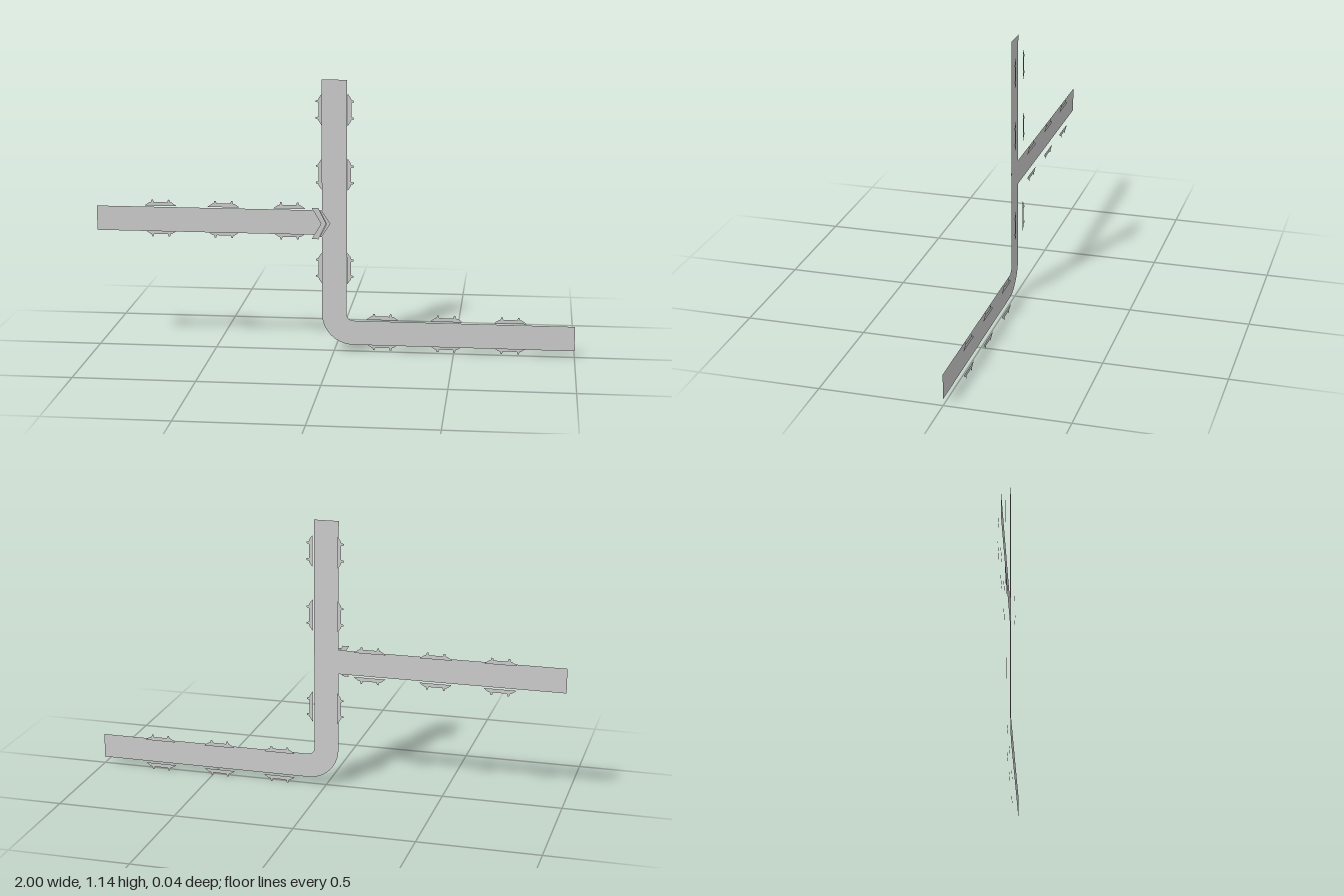
import * as THREE from 'three';

const material = new THREE.MeshStandardMaterial({ color: 0xcccccc, side: THREE.DoubleSide });

// Flat outline from a list of corners
function outline(points) {
  return new THREE.Shape(points.map(([x, y]) => new THREE.Vector2(x, y)));
}

function addSheet(parent, name, shape, z = 0) {
  const mesh = new THREE.Mesh(new THREE.ShapeGeometry(shape, 16), material);
  mesh.name = name;
  mesh.position.z = z;
  parent.add(mesh);
  return mesh;
}

export function createModel() {
  const model = new THREE.Group();
  model.name = 'branchingStrip';

  const half = 0.052;   // half width of the strips
  const armY = 0.55;    // centre line of the side arm
  const footY = 0.082;  // centre line of the foot
  const top = 1.147;
  const bracketZ = -0.02;
  const chevronZ = 0.02;

  // Upright that bends into the foot
  const inner = 0.028, outer = inner + 2 * half;
  const cx = half + inner, cy = footY + half + inner;
  const bend = new THREE.Shape();
  bend.moveTo(-half, top);
  bend.lineTo(-half, cy);
  bend.absarc(cx, cy, outer, Math.PI, Math.PI * 1.5, false);
  bend.lineTo(1, footY - half);
  bend.lineTo(1, footY + half);
  bend.lineTo(cx, footY + half);
  bend.absarc(cx, cy, inner, Math.PI * 1.5, Math.PI, true);
  bend.lineTo(half, top);
  addSheet(model, 'uprightAndFoot', bend);

  // Side arm
  addSheet(model, 'sideArm', outline([
    [-1, armY - half], [-half, armY - half], [-half, armY + half], [-1, armY + half],
  ]));

  // Edge bracket: a shallow bevelled bar with two small prongs
  const bracket = outline([
    [-0.067, 0], [0.067, 0], [0.062, 0.005], [0.047, 0.015],
    [0.041, 0.016], [0.038, 0.027], [0.032, 0.027], [0.029, 0.016],
    [-0.029, 0.016], [-0.032, 0.027], [-0.038, 0.027], [-0.041, 0.016],
    [-0.047, 0.015], [-0.062, 0.005],
  ]);

  // A pair of brackets on both edges of a strip
  function bracketPair(x, y, angle) {
    const pair = new THREE.Group();
    pair.name = 'bracketPair';
    pair.position.set(x, y, bracketZ);
    pair.rotation.z = angle;
    for (const side of [0, 1]) {
      const mesh = addSheet(pair, 'edgeBracket', bracket);
      mesh.position.y = side ? -half : half;
      mesh.rotation.z = side * Math.PI;
    }
    model.add(pair);
  }
  for (const x of [-0.733, -0.467, -0.19]) bracketPair(x, armY, 0);
  for (const x of [0.2, 0.467, 0.733]) bracketPair(x, footY, 0);
  for (const y of [0.353, 0.75, 1.02]) bracketPair(0, y, Math.PI / 2);

  // Nested chevrons where the arm meets the upright
  function chevron(name, back, front, rise, tipBack, tipFront) {
    addSheet(model, name, outline([
      [back, armY + rise], [tipBack, armY], [back, armY - rise],
      [front, armY - rise], [tipFront, armY], [front, armY + rise],
    ]), chevronZ);
  }
  chevron('largeChevron', -0.092, -0.064, 0.066, -0.053, -0.032);
  chevron('smallChevron', -0.058, -0.05, 0.056, -0.03, -0.014);

  return model;
}
